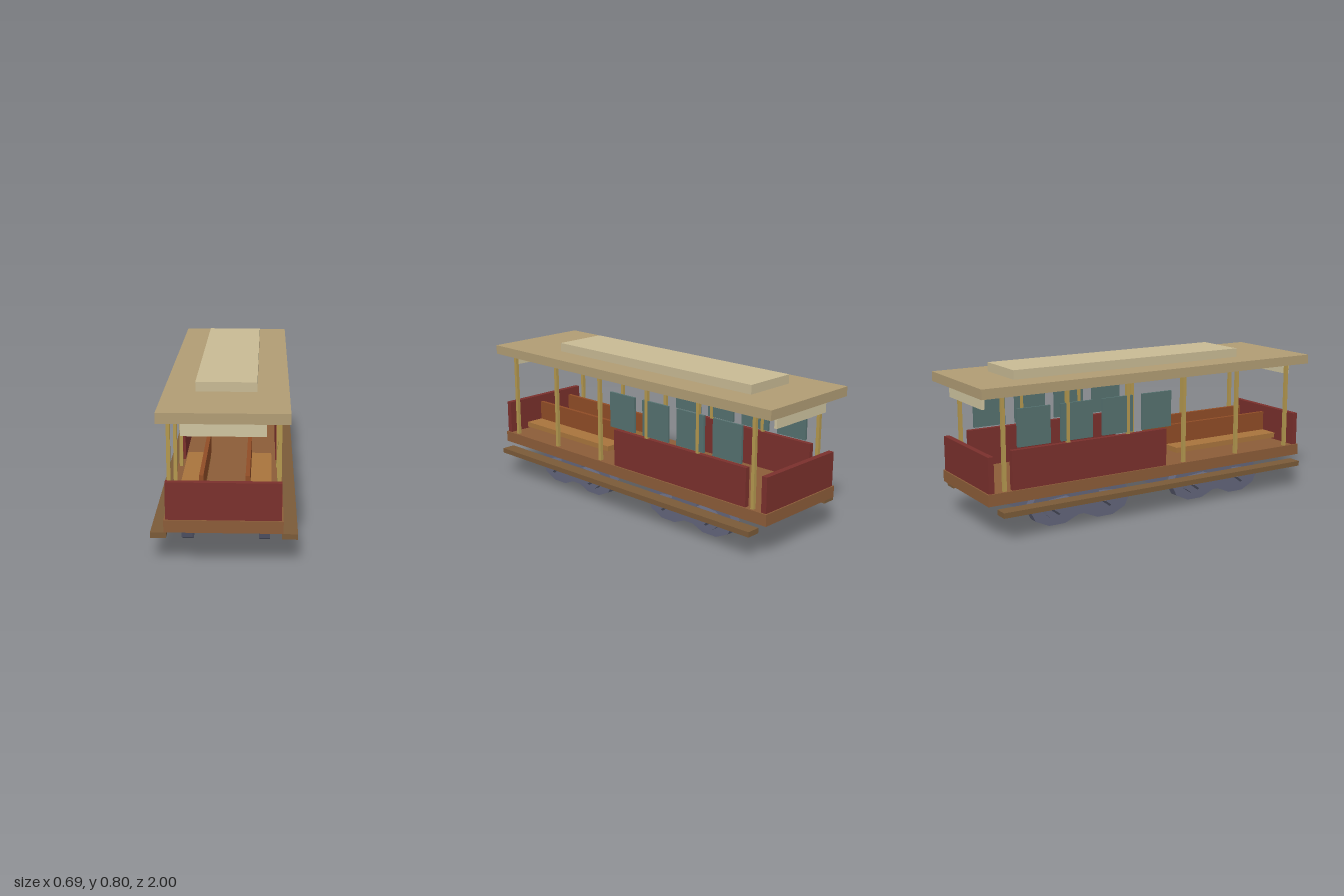
import * as THREE from 'three';
import { toCreasedNormals } from 'three/addons/utils/BufferGeometryUtils.js';

const mat = (color, flatShading = false) => new THREE.MeshStandardMaterial({ color, flatShading });
const M = {
  roof: mat(0xb09c74), clerestory: mat(0xc8ba94), sign: mat(0xcfc4a0), post: mat(0xb4984f),
  panel: mat(0x7a302c), floor: mat(0x8b5c38), step: mat(0x7a5a38), seat: mat(0xa8743c),
  back: mat(0x8f4c26), glass: mat(0x55716f), steel: mat(0x62657a, true), dark: mat(0x2b2b2d),
};

export function createModel() {
  const model = new THREE.Group();
  model.name = 'openTram';

  const add = (name, geometry, material, parent = model) => {
    const mesh = new THREE.Mesh(geometry, material);
    mesh.name = name;
    parent.add(mesh);
    return mesh;
  };

  // Box given by its ranges along x, y and z
  const box = (name, material, [x0, x1], [y0, y1], [z0, z1]) => {
    const mesh = add(name, new THREE.BoxGeometry(x1 - x0, y1 - y0, z1 - z0), material);
    mesh.position.set((x0 + x1) / 2, (y0 + y1) / 2, (z0 + z1) / 2);
    return mesh;
  };
  // Range on one side of the centre line
  const sided = (s, a, b) => (s > 0 ? [a, b] : [-b, -a]);

  // Side-view shape (z, y) extruded across x from x0 to x1
  const acrossX = (shape, x0, x1) => {
    const g = new THREE.ExtrudeGeometry(shape, { depth: x1 - x0, bevelEnabled: false, curveSegments: 20 });
    return g.rotateY(-Math.PI / 2).translate(x1, 0, 0);
  };
  // Outline mirrored front to back from its +z half, listed bottom to top
  const mirroredShape = (half) => new THREE.Shape([
    ...half, ...half.filter(([z]) => z > 0).reverse().map(([z, y]) => [-z, y]),
  ].map(([z, y]) => new THREE.Vector2(z, y)));

  // Floor and roof
  box('floor', M.floor, [-0.276, 0.276], [0.172, 0.232], [-0.97, 0.97]);
  box('roof', M.roof, [-0.302, 0.302], [0.7, 0.75], [-1, 1]);
  box('roofClerestory', M.clerestory, [-0.148, 0.148], [0.75, 0.797], [-0.76, 0.61]);

  // End panels and the boards hanging under the roof
  for (const s of [1, -1]) {
    box('endPanel', M.panel, [-0.268, 0.268], [0.232, 0.413], sided(s, 0.933, 0.963));
    box('signBoard', M.sign, [-0.195, 0.195], [0.63, 0.7], sided(s, 0.938, 0.954));
  }

  // Everything repeated on the left and right sides
  for (const s of [1, -1]) {
    box('runningBoard', M.step, sided(s, 0.27, 0.344), [0.125, 0.152], [-0.922, 0.922]);
    box('sidePanel', M.panel, sided(s, 0.242, 0.268), [0.232, 0.43], [-0.837, 0.06]);
    box('benchSeat', M.seat, sided(s, 0.1, 0.22), [0.275, 0.303], [0.16, 0.84]);
    box('benchBack', M.back, sided(s, 0.098, 0.118), [0.303, 0.407], [0.16, 0.84]);
    for (let i = 0; i < 6; i++) {
      const z = 0.88 - i * 0.351;
      box('roofPost', M.post, sided(s, 0.247, 0.265), [0.232, 0.7], [z - 0.009, z + 0.009]);
    }
    for (let i = 0; i < 4; i++) {
      const z = 0.003 - i * 0.238;
      box('window', M.glass, sided(s, 0.25, 0.262), [0.44, 0.63], [z - 0.09, z + 0.09]);
    }
  }

  // Trucks: paired wheel outline, side frame, bearing caps and motor
  const wheelShape = mirroredShape([
    [0, 0.04], [0.096, 0], [0.187, 0], [0.262, 0.035], [0.295, 0.1], [0.262, 0.155], [0.22, 0.172],
  ]);
  const frameShape = mirroredShape([
    [0.185, 0.046], [0.22, 0.072], [0.22, 0.105], [0.185, 0.135], [0.085, 0.145], [0.085, 0.172],
  ]);
  const motorShape = new THREE.Shape();
  motorShape.moveTo(-0.22, 0.172);
  motorShape.absellipse(0, 0.172, 0.22, 0.134, Math.PI, Math.PI * 2, false);
  motorShape.closePath();

  const wheelGeo = acrossX(wheelShape, 0.163, 0.216);
  const frameGeo = acrossX(frameShape, 0.216, 0.25);
  const motorGeo = toCreasedNormals(acrossX(motorShape, -0.163, 0.163), 0.6);
  const capGeo = new THREE.CylinderGeometry(0.032, 0.048, 0.016, 4).rotateZ(-Math.PI / 2).scale(1, 0.75, 1);

  for (const z of [0.428, -0.428]) {
    const truck = new THREE.Group();
    truck.name = z > 0 ? 'frontTruck' : 'rearTruck';
    truck.position.z = z;
    model.add(truck);
    add('motor', motorGeo, M.dark, truck);
    for (const s of [1, -1]) {
      const side = new THREE.Group();
      side.name = s > 0 ? 'leftTruckSide' : 'rightTruckSide';
      side.rotation.y = s > 0 ? 0 : Math.PI;
      truck.add(side);
      add('wheelPair', wheelGeo, M.steel, side);
      add('sideFrame', frameGeo, M.steel, side);
      for (const cz of [0.148, -0.148]) {
        add('bearingCap', capGeo, M.steel, side).position.set(0.258, 0.095, cz);
      }
    }
  }
  return model;
}
